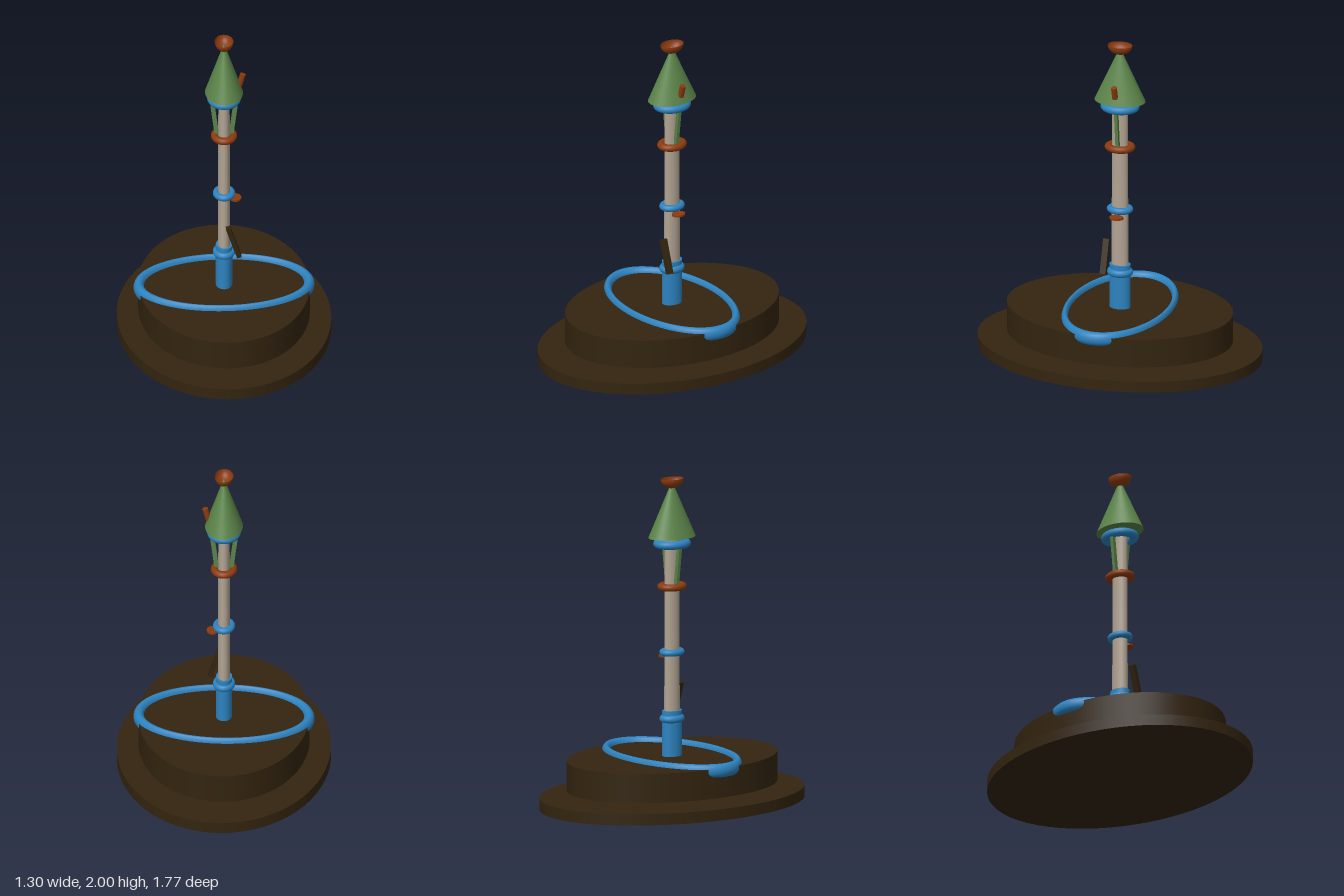
import * as THREE from 'three';

const mat = (name, color, side = THREE.FrontSide) => {
  const m = new THREE.MeshStandardMaterial({ color, side });
  m.name = name;
  return m;
};

export function createModel() {
  const brown = mat('dark brown', 0x33240f);
  const blue = mat('blue', 0x2d83c0);
  const green = mat('leaf green', 0x5b8449);
  const rust = mat('rust orange', 0x8c3b0e, THREE.DoubleSide);
  const stone = mat('pale stone', 0xb0a392);

  const model = new THREE.Group();
  model.name = 'tower';
  const add = (name, geometry, material, x = 0, y = 0, z = 0) => {
    const mesh = new THREE.Mesh(geometry, material);
    mesh.name = name;
    mesh.position.set(x, y, z);
    model.add(mesh);
    return mesh;
  };

  // Upright oval column between two heights; taper is the top/bottom ratio
  const column = (name, material, rx, rz, y0, y1, taper = 1, x = 0) =>
    add(name, new THREE.CylinderGeometry(taper, 1, 1, 64).scale(rx, y1 - y0, rz),
      material, x, (y0 + y1) / 2);

  // Horizontal oval ring: outer radii, tube half width along x, tube half height
  const ring = (name, material, outerX, outerZ, halfW, halfH, y) => {
    const t = halfW / (outerX - halfW);
    const g = new THREE.TorusGeometry(1, t, 16, 72).rotateX(Math.PI / 2);
    return add(name, g.scale(outerX / (1 + t), halfH / t, outerZ / (1 + t)), material, 0, y);
  };

  // Oval base
  column('basePlate', brown, 0.65, 0.885, 0, 0.07);
  column('baseStub', brown, 0.05, 0.067, 0.095, 0.12);
  column('baseDrum', brown, 0.52, 0.703, 0.11, 0.29);
  ring('baseRing', blue, 0.55, 0.327, 0.033, 0.043, 0.278);

  // Shaft and its collars
  column('sleeve', blue, 0.05, 0.066, 0.28, 0.57);
  column('shaft', stone, 0.037, 0.053, 0.5, 1.66, 0.93);
  ring('sleeveRing', blue, 0.068, 0.081, 0.02, 0.023, 0.52);
  ring('middleRing', blue, 0.068, 0.082, 0.02, 0.021, 0.93);
  ring('upperRing', rust, 0.08, 0.095, 0.022, 0.022, 1.335);
  ring('roofRing', blue, 0.103, 0.121, 0.026, 0.026, 1.6);
  column('sideDisc', rust, 0.036, 0.043, 0.89, 0.901, 1, 0.069);

  // Leaning plank in front of the shaft
  add('plank', new THREE.BoxGeometry(0.028, 0.215, 0.038), brown, 0.054, 0.629, 0.078)
    .rotation.z = 0.32;

  // Slanted struts under the roof
  for (const s of [-1, 1]) {
    add(s > 0 ? 'leftStrut' : 'rightStrut', new THREE.BoxGeometry(0.027, 0.25, 0.02),
      green, s * 0.06, 1.475).rotation.z = -s * 0.125;
  }

  // Roof, chimney and open finial bowl
  column('roof', green, 0.115, 0.159, 1.64, 1.985, 0);
  add('chimney', new THREE.CylinderGeometry(0.018, 0.018, 0.08, 24), rust, 0.104, 1.725)
    .rotation.z = -0.28;
  const bowl = new THREE.SphereGeometry(1, 48, 16, 0, Math.PI * 2, Math.PI / 2, Math.PI / 2);
  add('finialBowl', bowl.scale(0.057, 0.06, 0.077), rust, 0, 2);

  return model;
}
